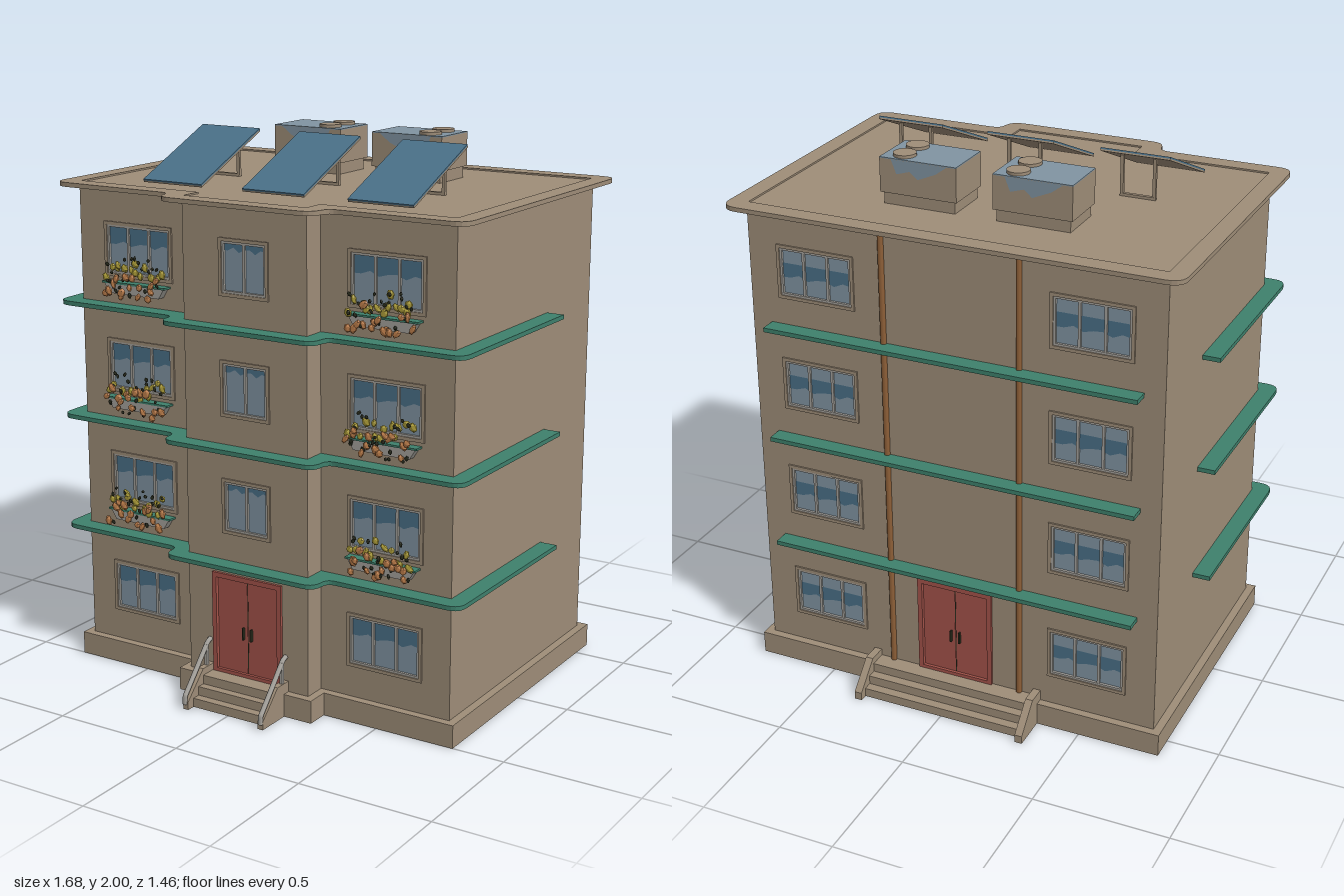
import * as THREE from 'three';

const mat = (name, color) =>
  Object.assign(new THREE.MeshStandardMaterial({ color, side: THREE.DoubleSide }), { name });
const M = {
  wall: mat('plaster', 0x9e8d78), frame: mat('greyFrame', 0xa5a29c),
  glass: mat('paleGlass', 0x8094a2), blue: mat('deepBlue', 0x4a7088),
  red: mat('doorRed', 0xa3534a), green: mat('ledgeGreen', 0x3e806c),
  brown: mat('pipeBrown', 0x8f6038), yellow: mat('flowerYellow', 0xb0a03a),
  orange: mat('flowerOrange', 0xc0804c), dark: mat('darkLeaf', 0x2b2e1e),
};

// Footprint: half width, back, front, bay front, bay half width, wall height
const X = 0.775, B = -0.565, F = 0.472, Y = 0.558, C = 0.255, H = 1.812;
const FLOORS = [0, 0.43, 0.86, 1.29];

function add(parent, name, geo, material, x = 0, y = 0, z = 0) {
  const m = new THREE.Mesh(geo, material);
  m.name = name;
  m.position.set(x, y, z);
  parent.add(m);
  return m;
}
const box = (p, name, material, w, h, d, x, y, z) =>
  add(p, name, new THREE.BoxGeometry(w, h, d), material, x, y, z);

function group(parent, name, x = 0, y = 0, z = 0, ry = 0) {
  const g = new THREE.Group();
  g.name = name;
  g.position.set(x, y, z);
  g.rotation.y = ry;
  parent.add(g);
  return g;
}

// Traces plan points [x, z, radius] with softened corners
function trace(path, pts) {
  const v = pts.map(([x, z]) => new THREE.Vector2(x, -z));
  v.forEach((p, i) => {
    const r = pts[i][2] || 0;
    const toward = q => p.clone().add(q.clone().sub(p).setLength(r));
    const a = toward(v[(i + v.length - 1) % v.length]), b = toward(v[(i + 1) % v.length]);
    i ? path.lineTo(a.x, a.y) : path.moveTo(a.x, a.y);
    if (r) path.quadraticCurveTo(p.x, p.y, b.x, b.y);
  });
  path.closePath();
  return path;
}
const outline = (o, r = 0) => [
  [-X - o, B - o, r], [X + o, B - o, r], [X + o, F + o, r], [C + o, F + o, r * 0.7],
  [C + o, Y + o, r], [-C - o, Y + o, r], [-C - o, F + o, r * 0.7], [-X - o, F + o, r]];

function slab(parent, name, pts, material, y, h, hole) {
  const s = trace(new THREE.Shape(), pts);
  if (hole) s.holes.push(trace(new THREE.Path(), hole));
  const geo = new THREE.ExtrudeGeometry(s, { depth: h, bevelEnabled: false, curveSegments: 5 });
  return add(parent, name, geo.rotateX(-Math.PI / 2), material, 0, y, 0);
}

const rect = (path, x, y, w, h) => path.moveTo(x - w / 2, y).lineTo(x + w / 2, y)
  .lineTo(x + w / 2, y + h).lineTo(x - w / 2, y + h).closePath();

// Flat wall with openings [x, y, w, h]
function wall(parent, name, w, openings, x, z, ry = 0) {
  const s = rect(new THREE.Shape(), 0, 0, w, H);
  openings.forEach(o => s.holes.push(rect(new THREE.Path(), ...o)));
  add(parent, name, new THREE.ShapeGeometry(s), M.wall, x, 0, z).rotation.y = ry;
}

function casing(parent, name, material, w, h, t, z, d) {
  const s = rect(new THREE.Shape(), 0, 0, w, h);
  s.holes.push(rect(new THREE.Path(), 0, t, w - 2 * t, h - 2 * t));
  add(parent, name, new THREE.ExtrudeGeometry(s, { depth: d, bevelEnabled: false }), material, 0, 0, z);
}

// Window standing on its local origin, facing +z; band is the dark reflection [low, high]
function windowUnit(parent, x, y, z, ry, w, h, panes, band) {
  const g = group(parent, 'window', x, y, z, ry);
  casing(g, 'windowCasing', M.wall, w, h, 0.012, -0.012, 0.018);
  const sash = group(g, 'sash', 0, 0.012, 0);
  const sw = w - 0.024, sh = h - 0.024;
  casing(sash, 'sashFrame', M.frame, sw, sh, 0.008, -0.01, 0.012);
  add(g, 'glass', new THREE.PlaneGeometry(sw, sh), M.glass, 0, h / 2, -0.007);
  const s = new THREE.Shape();
  s.moveTo(-sw / 2, sh * band[1]).lineTo(sw / 2, sh * band[1]);
  for (let i = 0; i <= 8; i++)
    s.lineTo(sw / 2 - sw * i / 8, sh * (band[0] + 0.05 * Math.sin(i * 2.3)));
  add(sash, 'reflection', new THREE.ShapeGeometry(s), M.blue, 0, 0, -0.005);
  for (let i = 1; i < panes; i++)
    box(g, 'mullion', M.frame, 0.01, sh, 0.01, -sw / 2 + sw * i / panes, h / 2, -0.004);
}

// Double door
function doorUnit(parent, y, z, ry) {
  const g = group(parent, 'door', 0, y, z, ry);
  casing(g, 'doorFrame', M.red, 0.295, 0.385, 0.018, -0.012, 0.022);
  for (const s of [-1, 1]) {
    box(g, 'doorLeaf', M.red, 0.126, 0.36, 0.01, s * 0.065, 0.19, -0.006);
    box(g, 'doorHandle', M.dark, 0.006, 0.045, 0.012, s * 0.017, 0.17, 0.004);
  }
  box(g, 'doorGap', M.dark, 0.003, 0.35, 0.004, 0, 0.19, -0.003);
}

// Steps between sloped cheeks, running out along local +z
function stairs(parent, name, z, ry, halfWidth, cheek, ends, top) {
  const g = group(parent, name, 0, 0, z, ry);
  ends.forEach((e, i) => {
    const h = top * (ends.length - i) / ends.length;
    box(g, 'step', M.wall, halfWidth * 2, h, e, 0, h / 2, e / 2);
  });
  const s = new THREE.Shape();
  s.moveTo(0, 0).lineTo(0.165, 0).lineTo(0.165, 0.03).lineTo(0.07, 0.125).lineTo(0, 0.125);
  const geo = new THREE.ExtrudeGeometry(s, { depth: cheek, bevelEnabled: false }).rotateY(-Math.PI / 2);
  for (const x of [-halfWidth, halfWidth + cheek]) add(g, 'stairCheek', geo, M.wall, x, 0, 0);
  return g;
}

// Planter with a seeded scatter of flat blooms
function flowerBox(parent, x, y, seed) {
  const rnd = () => (seed = (seed * 16807) % 2147483647) / 2147483647;
  const g = group(parent, 'flowerBox', x, y, F);
  const s = new THREE.Shape();
  s.moveTo(-0.11, -0.035).lineTo(0.11, -0.035).lineTo(0.135, 0.005).lineTo(-0.135, 0.005);
  add(g, 'planter', new THREE.ExtrudeGeometry(s, { depth: 0.03, bevelEnabled: false }), M.frame, 0, 0, 0.004);
  box(g, 'planterRim', M.green, 0.28, 0.007, 0.036, 0, 0.004, 0.02);
  const bloom = new THREE.IcosahedronGeometry(1, 0);
  const kinds = [['yellowBloom', M.yellow, 13, 0.01, 0.09, 0.025], ['orangeBloom', M.orange, 15, -0.045, 0.05, 0.045],
    ['leaf', M.dark, 22, -0.045, 0.105, 0.038]];
  for (const [name, m, n, lo, hi, z] of kinds)
    for (let i = 0; i < n; i++) {
      const px = ((i + rnd()) / n - 0.5) * 0.25, r = m === M.dark ? 0.009 : 0.017;
      const b = add(g, name, bloom, m, px, lo + (hi - lo) * rnd(), z + 0.02 * rnd());
      b.scale.set(r * (0.6 + 0.4 * rnd()), r * (0.8 + 0.5 * rnd()), r * 0.5);
      b.rotation.z = rnd() * 2 - 1;
    }
}

export function createModel() {
  const root = new THREE.Group();
  root.name = 'apartmentBlock';

  // Walls with window and door openings
  const side = FLOORS.map(f => [0, f + 0.211, 0.276, 0.178]);
  const wing = X - C, wx = (X + C) / 2;
  const mid = FLOORS.slice(1).map(f => [0, f + 0.213, 0.18, 0.18]);
  const door = [0, 0.105, 0.27, 0.36];
  for (const s of [-1, 1]) {
    wall(root, 'frontWingWall', wing, side, s * wx, F);
    wall(root, 'sideWall', F - B, [], s * X, (F + B) / 2, s * Math.PI / 2);
    wall(root, 'baySideWall', Y - F, [], s * C, (F + Y) / 2, s * Math.PI / 2);
  }
  wall(root, 'bayWall', C * 2, [...mid, door], 0, Y);
  const backHoles = [-wx, wx].flatMap(x => side.map(([, ...o]) => [x, ...o]));
  wall(root, 'backWall', X * 2, [...backHoles, door], 0, B, Math.PI);

  // Windows, doors and flower boxes
  FLOORS.forEach((f, i) => {
    for (const s of [-1, 1]) {
      windowUnit(root, s * wx, f + 0.2, F, 0, 0.3, 0.2, 3, [0.62, 1]);
      windowUnit(root, s * wx, f + 0.2, B, Math.PI, 0.3, 0.2, 3, [0.4, 0.68]);
      if (i) flowerBox(root, s * wx, f + 0.18, 91 + i * 37 + s * 11);
    }
    if (i) windowUnit(root, 0, f + 0.202, Y, 0, 0.204, 0.204, 2, [0.84, 1]);
  });
  doorUnit(root, 0.095, Y, 0);
  doorUnit(root, 0.095, B, Math.PI);

  // Plinth, roof rim and roof deck
  slab(root, 'plinth', outline(0.03), M.wall, 0, 0.085, outline(-0.002));
  slab(root, 'roofRim', outline(0.065, 0.06), M.wall, 1.81, 0.016, outline(-0.005));
  slab(root, 'roofDeck', outline(0), M.wall, 1.81, 0.01);

  // Green ledges above each of the lower three floors
  const o = 0.065, e = -0.21, r = 0.05;
  const half = [[X + o, e], [X + o, F + o, r], [C + o, F + o, r * 0.7], [C + o, Y + o, r]];
  const inner = [[-X, e], [-X, F], [-C, F], [-C, Y]];
  const flip = pts => pts.map(([x, ...rest]) => [-x, ...rest]).reverse();
  for (const y of [0.515, 0.945, 1.375]) {
    slab(root, 'frontLedge', [...half, ...flip(half), ...inner, ...flip(inner)], M.green, y, 0.016);
    box(root, 'backLedge', M.green, 1.4, 0.016, 0.062, 0, y + 0.008, B - 0.031);
  }

  // Drainpipes
  for (const x of [-C, C])
    add(root, 'drainpipe', new THREE.CylinderGeometry(0.011, 0.011, 1.725, 8), M.brown, x, 0.9475, B - 0.004);

  // Entrances
  const front = stairs(root, 'frontStairs', Y, 0, 0.15, 0.022, [0.07, 0.1, 0.132], 0.1);
  stairs(root, 'backStairs', B, Math.PI, 0.31, 0.028, [0.065, 0.1, 0.135], 0.1);
  const pts = [[0.165, 0.02], [0.165, 0.05], [0.022, 0.21], [0.002, 0.218]].map(([z, y]) => new THREE.Vector3(0, y, z));
  const rail = new THREE.CurvePath();
  for (let i = 0; i < 3; i++) rail.add(new THREE.LineCurve3(pts[i], pts[i + 1]));
  for (const x of [-0.163, 0.163]) {
    add(front, 'handrail', new THREE.TubeGeometry(rail, 30, 0.009, 6), M.frame, x);
    box(front, 'railPost', M.frame, 0.012, 0.1, 0.012, x, 0.155, 0.03);
  }

  // Solar panels on rear legs
  for (const x of [-0.43, 0, 0.43]) {
    const g = group(root, 'solarPanel', x, 1.82, 0);
    const tilt = group(g, 'panel', 0, 0.091, 0.19);
    tilt.rotation.x = Math.atan2(0.16, 0.37);
    box(tilt, 'panelBack', M.wall, 0.255, 0.006, 0.404, 0, -0.003, 0);
    box(tilt, 'panelFace', M.blue, 0.255, 0.006, 0.404, 0, 0.003, 0);
    for (const s of [-1, 1]) box(g, 'panelLeg', M.wall, 0.012, 0.148, 0.012, s * 0.06, 0.074, 0.045);
    box(g, 'legBar', M.wall, 0.13, 0.01, 0.014, 0, 0.005, 0.045);
  }

  // Rooftop air units
  for (const x of [-0.215, 0.21]) {
    const g = group(root, 'airUnit', x, 1.82, -0.277);
    box(g, 'unitFoot', M.wall, 0.27, 0.045, 0.175, 0, 0.0225, 0);
    box(g, 'unitBody', M.wall, 0.29, 0.122, 0.194, 0, 0.104, 0);
    box(g, 'unitTop', M.glass, 0.29, 0.004, 0.194, 0, 0.167, 0);
    for (const s of [-1, 1]) {
      const p = new THREE.Shape();
      p.moveTo(-0.11, 0).lineTo(0.1, 0).lineTo(0.08, -0.05).lineTo(0.03, -0.035).lineTo(0, -0.06).lineTo(-0.07, -0.03);
      add(g, 'unitStain', new THREE.ShapeGeometry(p), M.glass, 0, 0.165, s * 0.0985);
      add(g, 'fanCap', new THREE.CylinderGeometry(0.041, 0.041, 0.012, 20), M.wall, 0.072, 0.174, s * 0.048);
    }
  }
  return root;
}
